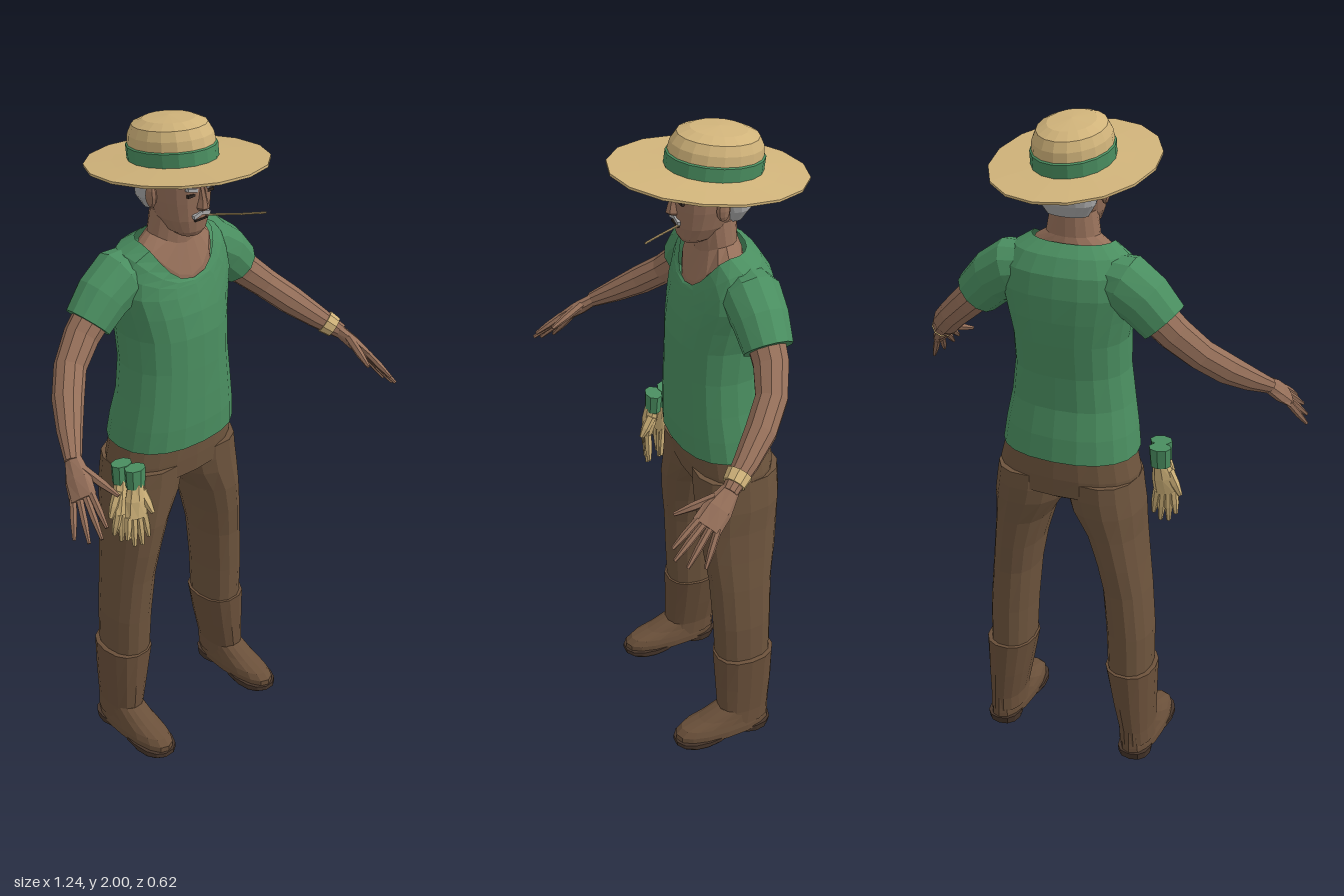
import * as THREE from 'three';

const mat = (name, color) => Object.assign(new THREE.MeshStandardMaterial({ color }), { name });
const V = (p) => new THREE.Vector3(...p);

// Faceted skin over a list of rings (arrays of Vector3), capped, always facing outwards
function loft(rings, openEnd = false) {
  const n = rings[0].length, pts = rings.flat(), idx = [];
  for (let i = 0; i < rings.length - 1; i++) {
    for (let j = 0; j < n; j++) {
      const a = i * n + j, b = i * n + (j + 1) % n;
      idx.push(a, a + n, b, b, a + n, b + n);
    }
  }
  const mean = (r) => r.reduce((s, p) => s.add(p), new THREE.Vector3()).divideScalar(n);
  const last = (rings.length - 1) * n, c = pts.length;
  pts.push(mean(rings[0]), mean(rings[rings.length - 1]));
  for (let j = 0; j < n; j++) idx.push(c, j, (j + 1) % n);
  for (let j = 0; j < n; j++) idx.push(c + 1, last + (j + 1) % n, last + j);
  let volume = 0;
  for (let i = 0; i < idx.length; i += 3) {
    volume += pts[idx[i]].dot(pts[idx[i + 1]].clone().cross(pts[idx[i + 2]]));
  }
  if (volume < 0) for (let i = 0; i < idx.length; i += 3) [idx[i], idx[i + 1]] = [idx[i + 1], idx[i]];
  if (openEnd) idx.length -= n * 3;
  const g = new THREE.BufferGeometry().setFromPoints(pts);
  g.setIndex(idx);
  return flat(g);
}

function flat(g) {
  const f = g.index ? g.toNonIndexed() : g;
  f.computeVertexNormals();
  return f;
}

// Level cross-sections: [y, centreX, halfWidth, frontZ, backZ, frontDrop]
function body(sections, n = 16, power = 2.3, openEnd = false) {
  return loft(sections.map(([y, cx, rx, zf, zb, drop = 0]) => Array.from({ length: n }, (_, j) => {
    const t = (j / n) * Math.PI * 2, e = 2 / power;
    const u = Math.sign(Math.cos(t)) * Math.abs(Math.cos(t)) ** e;
    const w = Math.sign(Math.sin(t)) * Math.abs(Math.sin(t)) ** e;
    return new THREE.Vector3(cx + rx * u, y - drop * Math.max(0, w) ** 2, (zf + zb) / 2 + w * (zf - zb) / 2);
  })), openEnd);
}

// Limb along points, with [radius along side, radius across] for each point
function limb(points, radii, side = [0, 0, 1], n = 8) {
  const p = points.map(V);
  return loft(p.map((c, i) => {
    const t = p[Math.min(i + 1, p.length - 1)].clone().sub(p[Math.max(i - 1, 0)]).normalize();
    const u = V(side).addScaledVector(t, -V(side).dot(t)).normalize();
    const v = t.clone().cross(u);
    const [a, b] = [radii[i]].flat().length === 2 ? radii[i] : [radii[i], radii[i]];
    return Array.from({ length: n }, (_, j) => {
      const q = (j / n) * Math.PI * 2;
      return c.clone().addScaledVector(u, a * Math.cos(q)).addScaledVector(v, b * Math.sin(q));
    });
  }));
}

export function createModel() {
  const model = new THREE.Group();
  model.name = 'farmer';
  const skin = mat('skin', 0x96705a), green = mat('green cloth', 0x4a8e60), brown = mat('trouser brown', 0x6d543d);
  const leather = mat('boot leather', 0x6a503a), sole = mat('dark sole', 0x46352a), straw = mat('straw', 0xd0b37a);
  const grey = mat('grey hair', 0xa9a9a9), dark = mat('dark features', 0x2e2520);
  green.side = THREE.DoubleSide;
  const add = (name, geo, m, parent = model) => {
    const mesh = new THREE.Mesh(geo, m);
    mesh.name = name;
    parent.add(mesh);
    return mesh;
  };
  const box = (name, size, pos, m, tilt = 0) => {
    const b = add(name, new THREE.BoxGeometry(...size), m);
    b.position.set(...pos);
    b.rotation.z = tilt;
  };

  // Palm, four fingers and a thumb
  function hand(name, m, wrist, knuckles, side, tips, thumb, r) {
    const g = new THREE.Group();
    g.name = name;
    model.add(g);
    const w = V(wrist), k = V(knuckles), s = V(side), half = s.length();
    const mid = w.clone().lerp(k, 0.5);
    add('palm', limb([wrist, mid.toArray(), knuckles],
      [[half * 0.7, r * 1.8], [half * 1.1, r * 1.9], [half * 1.15, r * 1.2]], side), m, g);
    tips.forEach((tip, i) => {
      const base = k.clone().addScaledVector(s, -0.85 + i * 0.57).lerp(w, 0.08);
      const joint = base.clone().lerp(V(tip), 0.55);
      add('finger', limb([base.toArray(), joint.toArray(), tip], [r, r * 0.95, r * 0.5], side, 6), m, g);
    });
    const root = w.clone().lerp(k, 0.3).addScaledVector(s, -0.6);
    const bend = root.clone().lerp(V(thumb), 0.55);
    add('thumb', limb([root.toArray(), bend.toArray(), thumb], [r * 1.3, r * 1.15, r * 0.55], side, 6), m, g);
  }

  // Shirt with a scooped neckline
  add('shirt', body([
    [1.05, 0, 0.203, 0.08, -0.215], [1.12, 0, 0.194, 0.083, -0.205], [1.2, 0, 0.18, 0.082, -0.186],
    [1.3, 0, 0.167, 0.08, -0.186], [1.4, 0, 0.168, 0.077, -0.2], [1.47, 0, 0.183, 0.066, -0.205],
    [1.54, 0, 0.2, 0.052, -0.204, 0.02], [1.6, 0, 0.192, 0.044, -0.193, 0.055],
    [1.645, 0, 0.165, 0.04, -0.165, 0.09], [1.672, 0, 0.12, 0.034, -0.127, 0.112],
  ], 20, 2.3, true), green);

  // Neck and upper chest
  add('neck', body([
    [1.63, 0, 0.122, 0.03, -0.125, 0.1], [1.66, 0, 0.116, 0.028, -0.12, 0.095],
    [1.685, 0, 0.078, 0.004, -0.112, 0.03], [1.75, 0, 0.066, 0.01, -0.11],
  ], 16, 2), skin);

  // Head, hair and face
  add('head', body([
    [1.69, 0, 0.034, 0.045, -0.02], [1.705, 0, 0.054, 0.054, -0.05], [1.74, 0, 0.07, 0.061, -0.09],
    [1.79, 0, 0.079, 0.064, -0.12], [1.84, 0, 0.082, 0.066, -0.135], [1.9, 0, 0.078, 0.062, -0.13],
  ], 18, 2.2), skin);
  add('hair', body([
    [1.745, 0, 0.06, -0.06, -0.125], [1.78, 0, 0.082, -0.045, -0.147], [1.825, 0, 0.088, -0.02, -0.157],
    [1.855, 0, 0.089, 0.035, -0.158], [1.875, 0, 0.088, 0.066, -0.155], [1.91, 0, 0.086, 0.068, -0.15],
  ], 18, 2.2), grey);
  add('nose', body([
    [1.77, 0, 0.013, 0.078, 0.04], [1.778, 0, 0.018, 0.088, 0.04],
    [1.8, 0, 0.012, 0.082, 0.04], [1.835, 0, 0.009, 0.07, 0.04],
  ], 8, 2), skin);
  box('mouth', [0.044, 0.005, 0.008], [0, 1.741, 0.059], dark);
  for (const s of [1, -1]) {
    box('moustache', [0.03, 0.011, 0.009], [s * 0.015, 1.757, 0.062], grey, -s * 0.25);
    box('eye', [0.024, 0.008, 0.009], [s * 0.034, 1.815, 0.057], dark);
    box('eyebrow', [0.036, 0.009, 0.012], [s * 0.034, 1.832, 0.06], grey, s * 0.25);
    add('ear', flat(new THREE.SphereGeometry(1, 8, 6).scale(0.012, 0.033, 0.02)), skin)
      .position.set(s * 0.087, 1.8, -0.04);
  }
  add('strawStalk', limb([[0.02, 1.746, 0.055], [0.07, 1.756, 0.13], [0.115, 1.766, 0.19]],
    [0.003, 0.003, 0.003], [0, 1, 0], 6), straw);

  // Tilted straw hat
  const hat = new THREE.Group();
  hat.name = 'hat';
  hat.position.set(0, 1.879, -0.037);
  hat.rotation.x = -0.135;
  model.add(hat);
  const turned = (profile, n, sx, sz) =>
    flat(new THREE.LatheGeometry(profile.map((p) => new THREE.Vector2(...p)), n).scale(sx, 1, sz));
  add('brim', turned([[0.3, 0], [0.7, -0.003], [1, -0.005], [1, 0.002], [0.7, 0.006], [0.3, 0.012]],
    16, 0.226, 0.278), straw, hat);
  add('crown', turned([[1, 0], [1, 0.05], [0.97, 0.075], [0.86, 0.1], [0.6, 0.114], [0, 0.12]],
    18, 0.107, 0.132), straw, hat).position.z = -0.012;
  add('hatBand', turned([[1, 0], [1.04, 0.005], [1.04, 0.046], [1, 0.049]],
    18, 0.107, 0.132), green, hat).position.z = -0.012;

  // Trouser seat
  add('trouserSeat', body([
    [0.912, 0, 0.1, 0.02, -0.17], [0.935, 0, 0.215, 0.048, -0.205],
    [0.99, 0, 0.212, 0.052, -0.206], [1.07, 0, 0.192, 0.055, -0.2],
  ], 20), brown);

  for (const s of [1, -1]) {
    const mirror = (rows) => rows.map((r) => [r[0], s * r[1], ...r.slice(2)]);
    const flip = ([x, y, z]) => [s * x, y, z];

    // Sleeve, arm and hand
    add('sleeve', limb([[0.11, 1.58, -0.09], [0.165, 1.571, -0.09], [0.225, 1.532, -0.09], [0.281, 1.475, -0.088]].map(flip),
      [0.07, 0.084, 0.078, 0.069], [0, 0, 1], 12), green);
    add('arm', limb([[0.25, 1.5, -0.09], [0.31, 1.445, -0.083], [0.375, 1.385, -0.055], [0.43, 1.33, 0.0],
      [0.48, 1.28, 0.065], [0.524, 1.237, 0.13]].map(flip), [0.054, 0.05, 0.045, 0.044, 0.035, 0.023], [0, 0, 1], 10), skin);
    hand('hand', skin, ...[[0.52, 1.24, 0.125], [0.56, 1.175, 0.21], [0.018, -0.016, -0.027]].map(flip),
      [[0.562, 1.135, 0.305], [0.582, 1.11, 0.308], [0.602, 1.092, 0.28], [0.615, 1.085, 0.235]].map(flip),
      flip([0.492, 1.185, 0.272]), 0.0105);

    // Leg, boot shaft, foot and sole
    add('trouserLeg', body(mirror([
      [0.28, 0.2, 0.066, 0.015, -0.158], [0.45, 0.195, 0.069, 0.022, -0.16], [0.6, 0.182, 0.069, 0.03, -0.165],
      [0.7, 0.167, 0.072, 0.042, -0.18], [0.8, 0.147, 0.082, 0.05, -0.192], [0.88, 0.122, 0.105, 0.05, -0.203],
      [0.93, 0.112, 0.108, 0.05, -0.205], [0.98, 0.108, 0.105, 0.05, -0.203],
    ]), 14), brown);
    add('bootShaft', body(mirror([
      [0.05, 0.225, 0.054, 0.03, -0.15], [0.1, 0.223, 0.052, 0.018, -0.152], [0.2, 0.213, 0.064, 0.02, -0.162],
      [0.32, 0.202, 0.077, 0.023, -0.168], [0.322, 0.202, 0.068, 0.015, -0.16],
    ]), 14), leather);
    add('foot', body(mirror([
      [0.018, 0.227, 0.058, 0.166, -0.152], [0.042, 0.226, 0.058, 0.165, -0.153], [0.06, 0.225, 0.054, 0.145, -0.152],
      [0.08, 0.225, 0.05, 0.085, -0.152], [0.11, 0.224, 0.046, 0.02, -0.15],
    ]), 16), leather);
    add('sole', body(mirror([[0, 0.227, 0.056, 0.16, 0.0], [0.01, 0.227, 0.061, 0.172, -0.02],
      [0.024, 0.227, 0.061, 0.171, -0.03]]), 14), sole);
    add('heel', body(mirror([[0, 0.227, 0.05, -0.04, -0.15], [0.026, 0.227, 0.053, -0.03, -0.157]]), 12), sole);
  }

  // Bracelet on the left wrist
  add('bracelet', limb([[0.495, 1.266, 0.089], [0.512, 1.249, 0.113]], [0.036, 0.032], [0, 0, 1], 10), straw);

  // Pair of work gloves hanging at the right hip
  for (const [dx, dz, turn] of [[0, 0, 1], [-0.012, -0.045, -1]]) {
    const at = ([x, y, z]) => [x + dx, y, z + dz];
    const side = [-0.03 * turn, 0, -0.008];
    const tips = [[-0.212, 0.81, 0.07], [-0.235, 0.79, 0.068], [-0.262, 0.795, 0.064], [-0.285, 0.825, 0.06]].map(at);
    hand('glove', straw, at([-0.238, 1.0, 0.045]), at([-0.252, 0.89, 0.062]), side,
      turn > 0 ? tips : tips.reverse(), at(turn > 0 ? [-0.215, 0.905, 0.093] : [-0.297, 0.89, 0.06]), 0.0125);
    add('gloveCuff', limb([[-0.238, 0.985, 0.045], [-0.236, 1.045, 0.042]].map(at), [[0.031, 0.024], [0.034, 0.026]], [1, 0, 0]), green);
  }
  return model;
}
